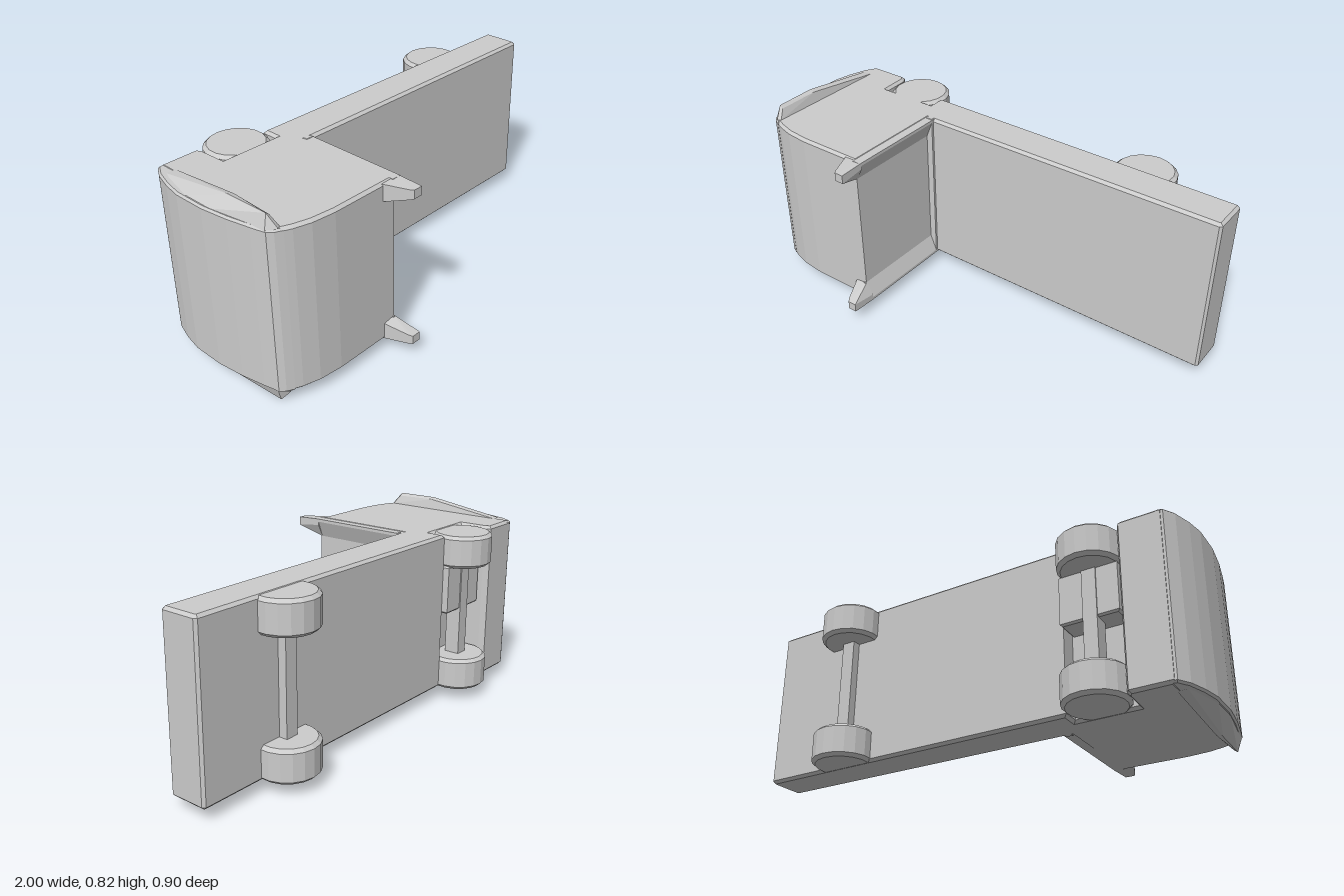
import * as THREE from 'three';
import { ConvexGeometry } from 'three/addons/geometries/ConvexGeometry.js';

// A cab-over flatbed truck lying on its side: nose towards -x, roof towards +z, width along y.
const BOTTOM = 0.06, TOP = 0.78, MID = 0.42;

export function createModel() {
  const group = new THREE.Group();
  const material = new THREE.MeshStandardMaterial({ color: 0xcccccc, flatShading: true });

  const add = (name, geometry) => {
    const mesh = new THREE.Mesh(geometry, material);
    mesh.name = name;
    group.add(mesh);
    return mesh;
  };

  // Side profile in (x, z), extruded across the width y0..y1 with a small bevel
  const slab = (name, profile, y0, y1, bevel = 0.012) => {
    const shape = new THREE.Shape(profile.map(([x, z]) => new THREE.Vector2(x, z)));
    const geometry = new THREE.ExtrudeGeometry(shape, {
      depth: y1 - y0 - 2 * bevel, bevelEnabled: true, bevelThickness: bevel,
      bevelSize: bevel, bevelOffset: -bevel, bevelSegments: 1,
    });
    geometry.rotateX(Math.PI / 2).translate(0, y1 - bevel, 0);
    return add(name, geometry);
  };

  // Convex solid from a few corners, made on both sides of the truck
  const hullPair = (name, points) => {
    for (const side of [1, -1]) {
      const corners = points.map(([x, y, z]) => new THREE.Vector3(x, MID + side * (y - MID), z));
      add(name + (side > 0 ? 'Upper' : 'Lower'), new ConvexGeometry(corners));
    }
  };

  // Cargo bed
  slab('bed', [[-0.47, -0.305], [0.99, -0.302], [1, -0.29], [1, -0.14], [0.99, -0.13], [-0.47, -0.125]],
    BOTTOM, TOP);

  // Cab with front fender and wheel recess
  slab('cab', [
    [-0.92, -0.375], [-0.75, -0.375], [-0.735, -0.35], [-0.73, -0.23], [-0.46, -0.23], [-0.4, -0.2],
    [-0.4, 0.34], [-0.7, 0.342], [-0.8, 0.332], [-0.87, 0.312], [-0.92, 0.29],
  ], BOTTOM, TOP);

  // Curved nose panel
  slab('nosePanel', [
    [-0.9, -0.375], [-0.93, -0.37], [-0.96, -0.32], [-0.985, -0.24], [-1, -0.16], [-1, -0.02],
    [-0.985, 0.1], [-0.965, 0.2], [-0.95, 0.265], [-0.93, 0.285], [-0.9, 0.3],
  ], BOTTOM + 0.002, TOP - 0.002, 0.008);

  // Flared wind deflectors at the front corners
  hullPair('deflector', [
    [-0.995, 0.77, -0.15], [-0.995, 0.77, -0.02], [-0.95, 0.77, 0.26], [-0.915, 0.78, 0.29],
    [-0.93, 0.832, 0.25], [-0.915, 0.82, 0.25], [-0.935, 0.832, 0.06], [-0.912, 0.825, 0.06],
    [-0.9, 0.78, -0.3], [-0.94, 0.78, -0.3], [-0.9, 0.78, 0.28], [-0.91, 0.7, 0],
  ]);

  // Tapered pillars along the rear edges of the cab
  hullPair('rearPillar', [-0.28, 0.345].flatMap((z) => [
    [-0.41, 0.692, z], [-0.4, 0.692, z], [-0.37, 0.765, z], [-0.37, 0.778, z], [-0.41, 0.778, z],
  ]));

  // Fins rising above the roof from the pillars
  hullPair('roofFin', [
    [-0.46, 0.7, 0.335], [-0.46, 0.775, 0.335], [-0.4, 0.692, 0.335], [-0.37, 0.75, 0.335], [-0.37, 0.778, 0.335],
    [-0.42, 0.73, 0.435], [-0.42, 0.773, 0.435], [-0.41, 0.735, 0.45], [-0.41, 0.773, 0.45],
    [-0.37, 0.735, 0.45], [-0.37, 0.773, 0.45],
  ]);

  // Low sill where the bed meets the cab wall
  slab('cabSill', [[-0.41, -0.2], [-0.37, -0.2], [-0.37, -0.115], [-0.41, -0.115]], BOTTOM, TOP, 0.006);

  // Wheels with chamfered rims, and an axle for each pair
  const rim = [[0, -0.072], [0.118, -0.072], [0.133, -0.058], [0.133, 0.058], [0.118, 0.072], [0, 0.072]]
    .map(([r, y]) => new THREE.Vector2(r, y));
  for (const [label, x] of [['front', -0.6], ['rear', 0.58]]) {
    for (const y of [0.133, 0.705]) {
      const wheel = add(label + 'Wheel' + (y > MID ? 'Upper' : 'Lower'), new THREE.LatheGeometry(rim, 18));
      wheel.position.set(x, y, -0.316);
    }
    const axle = add(label + 'Axle', new THREE.BoxGeometry(0.06, 0.5, 0.07));
    axle.position.set(x, MID, -0.305);
  }

  // Engine block beside the front axle
  slab('engineBlock', [[-0.72, -0.335], [-0.47, -0.335], [-0.47, -0.21], [-0.72, -0.21]], 0.42, 0.64, 0.008);

  return group;
}
